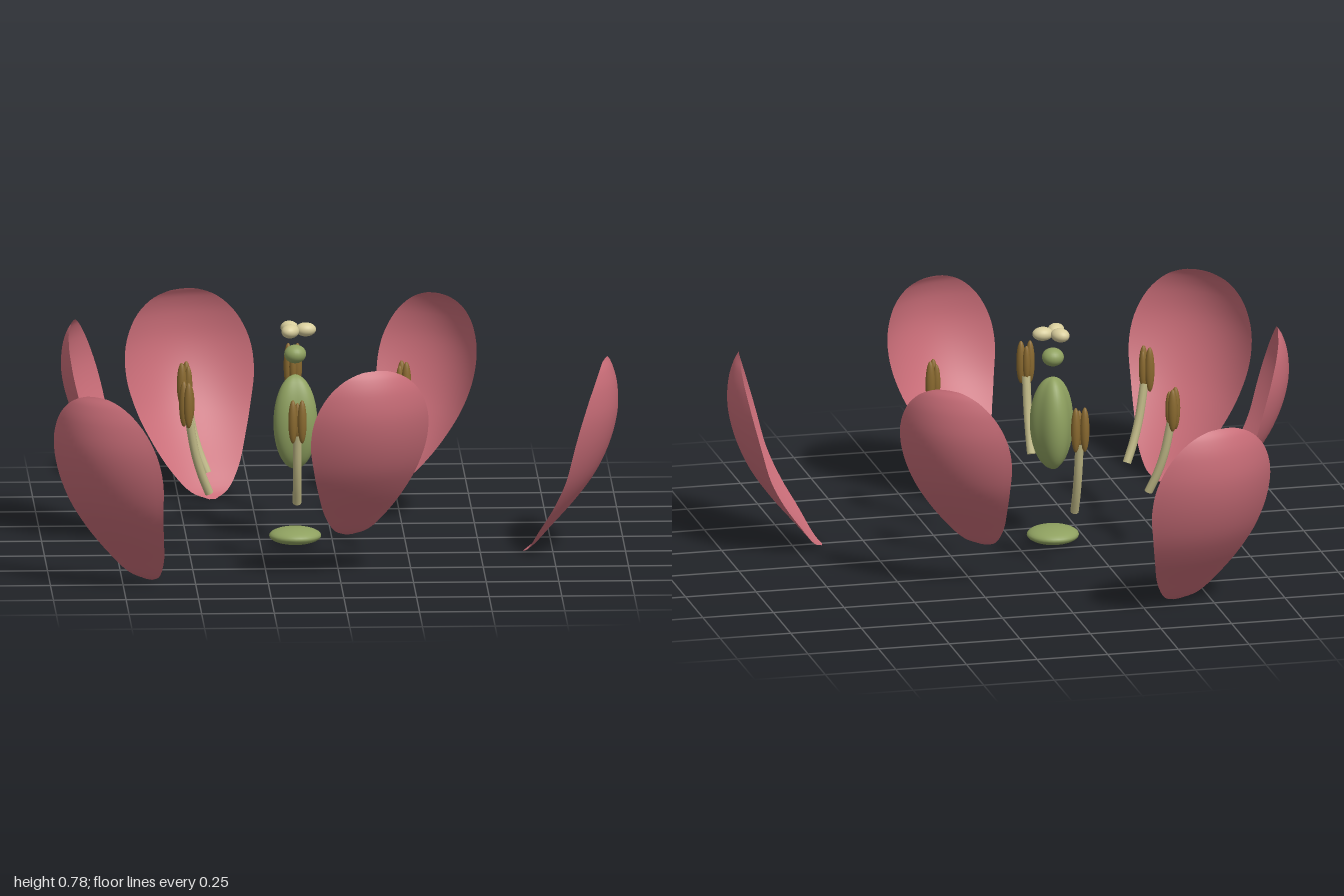
import * as THREE from 'three';

const material = (name, color, side = THREE.FrontSide) => {
  const m = new THREE.MeshStandardMaterial({ color, side });
  m.name = name;
  return m;
};

function add(parent, name, geometry, mat, x = 0, y = 0, z = 0) {
  const mesh = new THREE.Mesh(geometry, mat);
  mesh.name = name;
  mesh.position.set(x, y, z);
  parent.add(mesh);
  return mesh;
}

const ellipsoid = (rx, ry, rz, segments = 24) =>
  new THREE.SphereGeometry(1, segments, 16).scale(rx, ry, rz);

// Cupped petal: each rib point holds radial distance, height and half width
function petalGeometry() {
  const rib = new THREE.CatmullRomCurve3([
    [0.795, 0.008, 0.012], [0.83, 0.03, 0.066], [0.893, 0.1, 0.124], [0.98, 0.2, 0.174],
    [1.05, 0.3, 0.211], [1.098, 0.41, 0.235], [1.12, 0.51, 0.228], [1.117, 0.6, 0.187],
    [1.1, 0.66, 0.124], [1.083, 0.688, 0.055], [1.08, 0.693, 0.01],
  ].map(p => new THREE.Vector3(...p)));
  const geometry = new THREE.PlaneGeometry(2, 1, 20, 40);
  const pos = geometry.attributes.position;
  for (let i = 0; i < pos.count; i++) {
    const p = rib.getPoint(pos.getY(i) + 0.5);
    const t = pos.getX(i) * p.z;
    pos.setXYZ(i, p.x - 1.6 * t * t, p.y, -t);
  }
  geometry.computeVertexNormals();
  return geometry;
}

// Ovary with three soft lobes
function ovaryGeometry() {
  const geometry = new THREE.SphereGeometry(1, 48, 24);
  const pos = geometry.attributes.position;
  for (let i = 0; i < pos.count; i++) {
    const x = pos.getX(i), z = pos.getZ(i);
    const r = 0.072 + 0.009 * Math.cos(3 * (Math.atan2(z, x) - Math.PI / 6));
    pos.setXYZ(i, x * r, pos.getY(i) * 0.165, z * r);
  }
  geometry.computeVertexNormals();
  return geometry;
}

export function createModel() {
  const petalPink = material('petal pink', 0xc96d78, THREE.DoubleSide);
  const green = material('stem green', 0x8fa160);
  const cream = material('stigma cream', 0xd8cd9c);
  const straw = material('filament straw', 0xbfb886);
  const brown = material('anther brown', 0x89692f);

  const model = new THREE.Group();
  model.name = 'explodedFlower';
  const flower = new THREE.Group();
  flower.name = 'flower';
  flower.position.set(-0.13, 0, 0.075);
  model.add(flower);

  // Two whorls of three petals
  const outer = petalGeometry();
  const inner = outer.clone().scale(0.91, 0.91, 0.91).translate(-0.208, 0.131, 0);
  for (let i = 0; i < 3; i++) {
    const angle = THREE.MathUtils.degToRad(11.4 + 120 * i);
    add(flower, 'outerPetal', outer, petalPink).rotation.y = -angle;
    add(flower, 'innerPetal', inner, petalPink).rotation.y = -angle - Math.PI / 3;
  }

  // Stamens: curved filament with a two-lobed anther
  const path = new THREE.CatmullRomCurve3([
    new THREE.Vector3(0.345, 0.22, 0), new THREE.Vector3(0.376, 0.29, 0),
    new THREE.Vector3(0.402, 0.37, 0), new THREE.Vector3(0.426, 0.49, 0),
  ]);
  const filament = new THREE.TubeGeometry(path, 16, 0.015, 10);
  const filamentEnd = new THREE.CircleGeometry(0.015, 10).rotateX(Math.PI / 2).rotateZ(-0.4);
  const lobe = ellipsoid(0.017, 0.08, 0.016, 14);
  const connective = ellipsoid(0.014, 0.066, 0.013, 14);
  for (let i = 0; i < 6; i++) {
    const stamen = new THREE.Group();
    stamen.name = 'stamen';
    stamen.rotation.y = -THREE.MathUtils.degToRad(31.3 + 60 * i);
    const k = i % 2 ? 0.95 : 1;
    stamen.scale.y = k;
    stamen.position.y = 0.22 * (1 - k);
    add(stamen, 'filament', filament, straw);
    add(stamen, 'filamentEnd', filamentEnd, straw, 0.345, 0.22, 0);
    for (const s of [-1, 1]) add(stamen, 'antherLobe', lobe, brown, 0.437, 0.54, s * 0.016);
    add(stamen, 'antherConnective', connective, brown, 0.42, 0.54, 0);
    flower.add(stamen);
  }

  // Receptacle and pistil stacked on the axis
  add(flower, 'receptacle', ellipsoid(0.09, 0.029, 0.09, 32), green, 0, 0.035, 0);
  add(flower, 'ovary', ovaryGeometry(), green, 0, 0.435, 0);
  add(flower, 'style', ellipsoid(0.038, 0.032, 0.038), green, 0, 0.672, 0);
  for (let i = 0; i < 3; i++) {
    const a = i * Math.PI * 2 / 3;
    add(flower, 'stigmaLobe', ellipsoid(0.036, 0.024, 0.029), cream,
      0.036 * Math.cos(a), 0.758, 0.036 * Math.sin(a)).rotation.y = -a;
  }
  return model;
}
